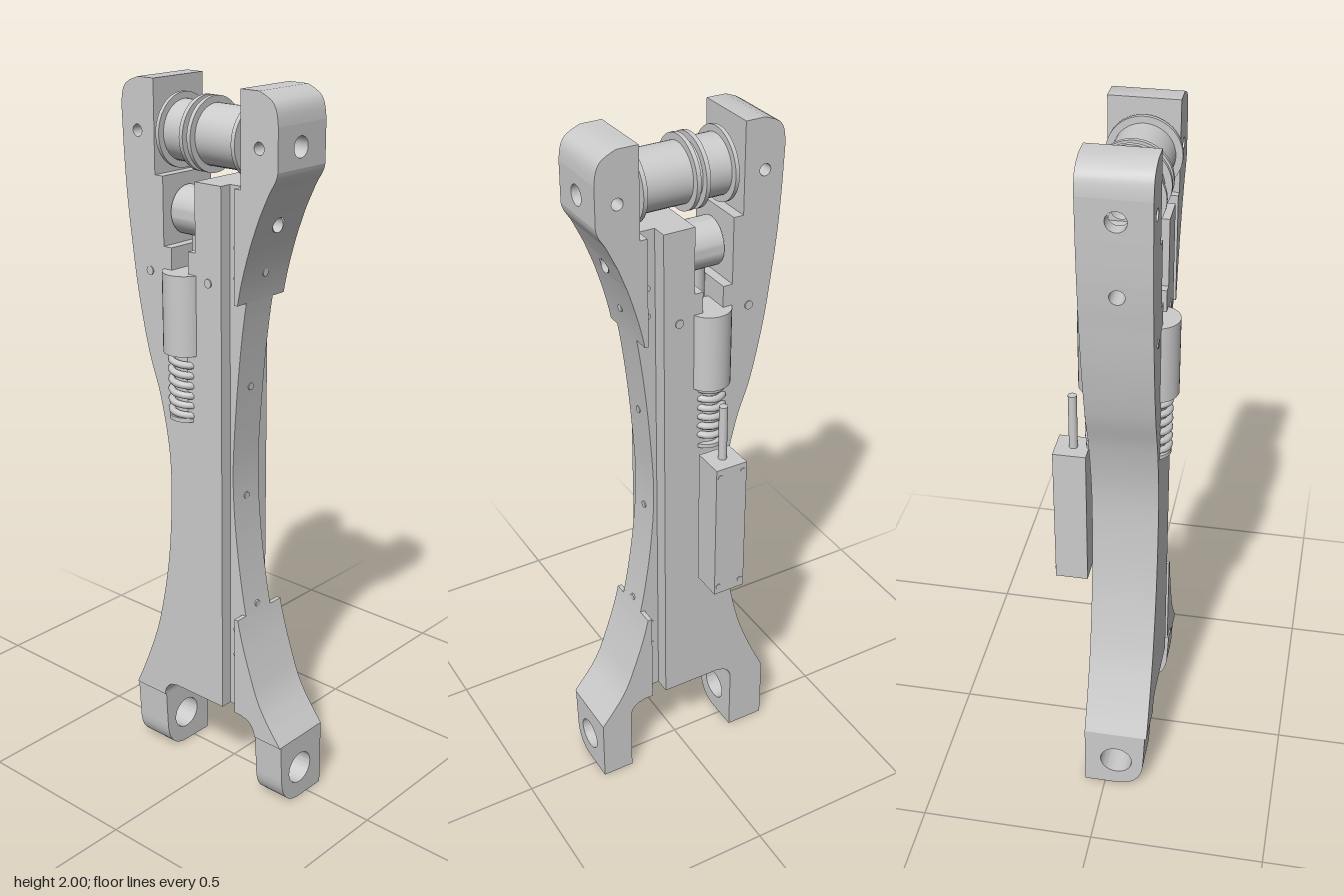
import * as THREE from 'three';
import { toCreasedNormals } from 'three/addons/utils/BufferGeometryUtils.js';

const mat = new THREE.MeshStandardMaterial({ color: 0xcccccc });
const open = new THREE.MeshStandardMaterial({ color: 0xcccccc, side: THREE.DoubleSide });
const BACK = -0.06, FRONT = 0.125, AXIS_Z = 0.037;

// Smooth outline edge: returns x for a given y
function edge(points) {
  const table = new THREE.SplineCurve(points.map(p => new THREE.Vector2(...p))).getPoints(200);
  return y => {
    let i = 1;
    while (i < table.length - 1 && table[i].y < y) i++;
    const a = table[i - 1], b = table[i];
    const t = THREE.MathUtils.clamp((y - a.y) / Math.max(b.y - a.y, 1e-6), 0, 1);
    return a.x + (b.x - a.x) * t;
  };
}
const leftEdge = edge([[-0.28, 0.2], [-0.23, 0.31], [-0.18, 0.45], [-0.14, 0.65], [-0.125, 0.85], [-0.13, 1],
  [-0.16, 1.15], [-0.2, 1.27], [-0.235, 1.43], [-0.255, 1.57], [-0.27, 1.7], [-0.28, 1.87], [-0.28, 1.94],
  [-0.265, 1.98], [-0.22, 2]]);
const rightEdge = edge([[0.28, 0.2], [0.21, 0.295], [0.17, 0.39], [0.125, 0.54], [0.09, 0.75], [0.075, 0.95],
  [0.085, 1.15], [0.105, 1.35], [0.13, 1.5], [0.175, 1.65], [0.22, 1.75], [0.25, 1.81], [0.25, 1.92],
  [0.235, 1.975], [0.19, 2]]);
const at = (f, y) => (typeof f === 'function' ? f(y) : f);

export function createModel() {
  const root = new THREE.Group();
  const add = (name, geo, material = mat, parent = root) => {
    const m = new THREE.Mesh(geo, material);
    m.name = name;
    parent.add(m);
    return m;
  };

  // Plate between two edges over a range of heights
  function slab(name, y0, y1, xa, xb, z0 = BACK, z1 = FRONT) {
    const n = Math.max(8, Math.ceil((y1 - y0) / 0.03));
    const a = [], b = [];
    for (let i = 0; i <= n; i++) {
      const y = y0 + (y1 - y0) * i / n;
      if (typeof xa === 'function' || i === 0 || i === n) a.unshift(new THREE.Vector2(at(xa, y), y));
      if (typeof xb === 'function' || i === 0 || i === n) b.push(new THREE.Vector2(at(xb, y), y));
    }
    const geo = new THREE.ExtrudeGeometry(new THREE.Shape([...b, ...a]), { depth: z1 - z0, bevelEnabled: false });
    geo.translate(0, 0, z0);
    add(name, toCreasedNormals(geo, 0.5));
  }

  const holed = (pts, u, v, r) => {
    const s = new THREE.Shape(pts.map(p => new THREE.Vector2(...p)));
    if (r) s.holes.push(new THREE.Path().absarc(u, v, r, 0, Math.PI * 2, true));
    return new THREE.ShapeGeometry(s, 16);
  };
  const tube = (name, r, a, b, axis, x, y, z, parent) => {
    const geo = new THREE.CylinderGeometry(r, r, b - a, 32, 1, true);
    if (axis === 'x') geo.rotateZ(Math.PI / 2).translate((a + b) / 2, y, z);
    else geo.rotateX(Math.PI / 2).translate(x, y, (a + b) / 2);
    add(name, geo, open, parent);
  };

  // Section of the frame drilled sideways, and optionally front to back
  function drilled(name, y0, y1, xa, xb, holeY, r, z0 = BACK, z1 = FRONT, crossX = 0, crossR = 0) {
    const g = new THREE.Group();
    g.name = name;
    root.add(g);
    const ends = [xa, xb].map(f => [at(f, y0), at(f, y1)]);
    const side = (e, y) => e[0] + (e[1] - e[0]) * (y - y0) / (y1 - y0);
    for (const e of ends) {
      const geo = holed([[z0, y0], [z1, y0], [z1, y1], [z0, y1]], AXIS_Z, holeY, r);
      const p = geo.attributes.position;
      for (let i = 0; i < p.count; i++) p.setXYZ(i, side(e, p.getY(i)), p.getY(i), p.getX(i));
      geo.computeVertexNormals();
      add('sideWall', geo, open, g);
    }
    const [l, q] = ends;
    for (const z of [z0, z1]) {
      const geo = holed([[l[0], y0], [q[0], y0], [q[1], y1], [l[1], y1]], crossX, holeY, crossR);
      add('faceWall', geo.translate(0, 0, z), open, g);
    }
    const x0 = side(l, holeY), x1 = side(q, holeY);
    if (crossR) {
      tube('bore', r, x0, crossX - crossR, 'x', 0, holeY, AXIS_Z, g);
      tube('bore', r, crossX + crossR, x1, 'x', 0, holeY, AXIS_Z, g);
      tube('crossBore', crossR, z0, AXIS_Z - r, 'z', crossX, holeY, 0, g);
      tube('crossBore', crossR, AXIS_Z + r, z1, 'z', crossX, holeY, 0, g);
    } else tube('bore', r, x0, x1, 'x', 0, holeY, AXIS_Z, g);
  }

  // Feet with rounded front toe and axle hole
  for (const [name, x0, x1] of [['rightFoot', -0.28, -0.165], ['leftFoot', 0.185, 0.28]]) {
    const s = new THREE.Shape();
    s.moveTo(0.06, 0.2).lineTo(-0.12, 0.2).lineTo(-0.115, 0.09);
    s.quadraticCurveTo(-0.112, 0.005, -0.04, 0).lineTo(0.06, 0).closePath();
    s.holes.push(new THREE.Path().absarc(-0.034, 0.095, 0.047, 0, Math.PI * 2, true));
    const geo = new THREE.ExtrudeGeometry(s, { depth: x1 - x0, bevelEnabled: false, curveSegments: 24 });
    add(name, toCreasedNormals(geo.rotateY(Math.PI / 2).translate(x0, 0, 0), 0.5));
  }
  // Filleted notch between the feet
  const fillet = y => 0.05 - Math.sqrt(Math.max(0, 0.0025 - (y - 0.2) ** 2));
  slab('rightAnkle', 0.2, 0.25, leftEdge, y => -0.165 + fillet(y));
  slab('leftAnkle', 0.2, 0.25, y => 0.185 - fillet(y), rightEdge);

  // Main panel, with the slot for the eye and its rod
  slab('mainPanel', 0.25, 1.5, leftEdge, 0.065);
  slab('rodChannelRight', 1.5, 1.57, leftEdge, -0.11);
  slab('rodChannelLeft', 1.5, 1.57, -0.05, 0.065);
  slab('slotRight', 1.57, 1.63, leftEdge, -0.137);
  slab('slotLeft', 1.57, 1.63, -0.025, 0.065);
  drilled('slotRightBored', 1.63, 1.69, leftEdge, -0.137, 1.66, 0.02);
  drilled('slotLeftBored', 1.63, 1.69, -0.025, 0.065, 1.66, 0.02);
  slab('slotRightTop', 1.69, 1.755, leftEdge, -0.137);
  slab('slotLeftTop', 1.69, 1.755, -0.025, 0.065);

  // Recessed side rail
  slab('railFoot', 0.25, 0.55, 0.065, 0.11, -0.015, 0.09);
  slab('railMiddle', 0.55, 1.455, 0.065, rightEdge, -0.015, 0.09);
  slab('railTop', 1.455, 1.63, 0.065, 0.11, -0.015, 0.09);
  drilled('railBored', 1.63, 1.69, 0.065, 0.11, 1.66, 0.02, -0.015, 0.09);
  slab('railEnd', 1.69, 1.755, 0.065, 0.11, -0.015, 0.09);

  // Thick lower leg and upper arms
  slab('leftLeg', 0.25, 0.55, 0.11, rightEdge);
  slab('leftArmRoot', 1.455, 1.63, 0.11, rightEdge);
  drilled('leftArmBored', 1.63, 1.69, 0.11, rightEdge, 1.66, 0.02);
  slab('leftArmLower', 1.69, 1.755, 0.11, rightEdge);
  slab('leftArm', 1.755, 1.81, 0.13, rightEdge);
  drilled('leftArmEye', 1.81, 1.92, 0.13, rightEdge, 1.863, 0.027, BACK, FRONT, 0.19, 0.016);
  slab('leftArmTip', 1.92, 2, 0.13, rightEdge);
  slab('rightArm', 1.755, 1.81, leftEdge, -0.165);
  drilled('rightArmEye', 1.81, 1.92, leftEdge, -0.165, 1.863, 0.027, BACK, FRONT, -0.225, 0.016);
  slab('rightArmTip', 1.92, 2, leftEdge, -0.165);

  // Hollow rollers turned about the x axis
  const roller = (name, y, profile) => {
    const pts = profile.map(([r, x]) => new THREE.Vector2(r, -x));
    const geo = new THREE.LatheGeometry([...pts, pts[0].clone()], 48).rotateZ(Math.PI / 2);
    add(name, toCreasedNormals(geo, 0.5), open).position.set(0, y, AXIS_Z);
  };
  roller('topRoller', 1.863, [[0.027, -0.15], [0.098, -0.15], [0.098, -0.139], [0.08, -0.139], [0.08, -0.068],
    [0.098, -0.068], [0.098, -0.056], [0.08, -0.056], [0.08, -0.041], [0.098, -0.041], [0.098, -0.029],
    [0.08, -0.029], [0.08, 0.107], [0.098, 0.107], [0.098, 0.119], [0.027, 0.119]]);
  roller('rodEye', 1.657, [[0.02, -0.13], [0.066, -0.13], [0.066, -0.035], [0.02, -0.035]]);

  const cyl = (name, r, y0, y1, x, z) =>
    add(name, new THREE.CylinderGeometry(r, r, y1 - y0, 32)).position.set(x, (y0 + y1) / 2, z);
  cyl('eyeRod', 0.028, 1.48, 1.6, -0.08, AXIS_Z);

  // Damper housings and springs, front and back
  for (const [side, zHouse, zSpring] of [['front', 0.107, 0.1], ['back', -0.04, -0.032]]) {
    cyl(side + 'Housing', 0.06, 1.29, 1.51, -0.08, zHouse);
    cyl(side + 'SpringCore', 0.034, 1.105, 1.29, -0.08, zSpring);
    cyl(side + 'SpringSeat', 0.05, 1.1, 1.112, -0.08, zSpring);
    const helix = [];
    for (let i = 0; i <= 84; i++) {
      const t = i / 84, a = t * Math.PI * 12;
      helix.push(new THREE.Vector3(-0.08 + 0.043 * Math.cos(a), 1.115 + 0.17 * t, zSpring + 0.043 * Math.sin(a)));
    }
    add(side + 'Spring', new THREE.TubeGeometry(new THREE.CatmullRomCurve3(helix), 220, 0.01, 8));
  }

  // Actuator behind the panel
  const box = add('actuatorBody', new THREE.BoxGeometry(0.095, 0.425, 0.092));
  box.position.set(-0.082, 0.8725, -0.121);
  cyl('actuatorRod', 0.012, 1.08, 1.25, -0.082, -0.118);

  // Small screws
  const screw = (x, y, z, axis, r = 0.01) => {
    const geo = new THREE.CylinderGeometry(r, r, 0.006, 16);
    if (axis === 'x') geo.rotateZ(Math.PI / 2); else geo.rotateX(Math.PI / 2);
    add('screw', geo).position.set(x, y, z);
  };
  for (const x of [-0.117, -0.047]) for (const y of [0.685, 1.06]) screw(x, y, -0.166, 'z', 0.008);
  for (const x of [-0.188, 0.02]) for (const z of [BACK, FRONT]) screw(x, 1.497, z, 'z', 0.012);
  for (const y of [0.415, 0.495, 1.515, 1.595]) for (const z of [-0.015, 0.09]) screw(0.087, y, z, 'z', 0.008);
  for (const y of [0.57, 0.89, 1.21, 1.53]) screw(rightEdge(y), y, AXIS_Z, 'x');
  return root;
}
